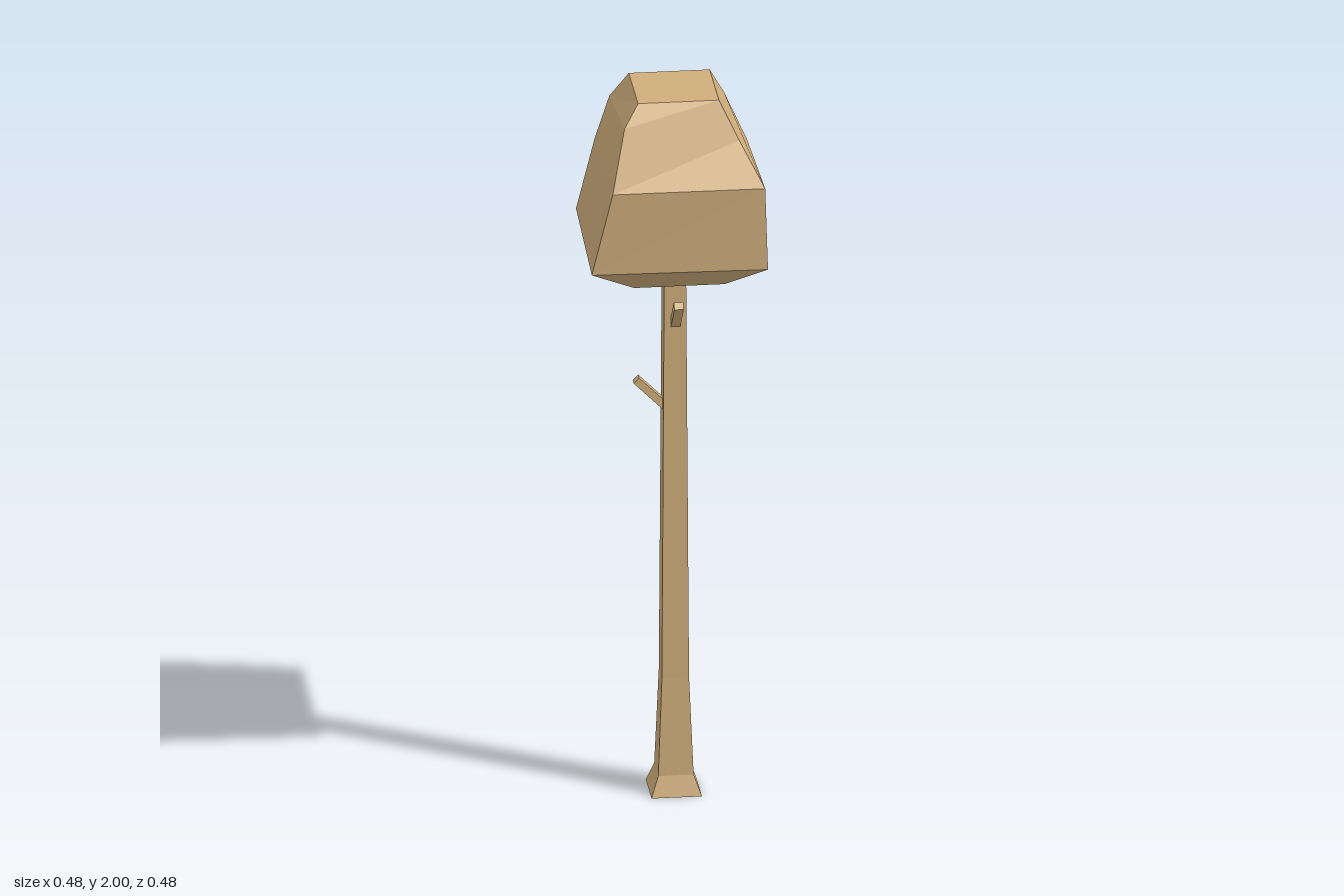
import * as THREE from 'three';

const material = new THREE.MeshStandardMaterial({
  color: 0xcfae7c, flatShading: true, side: THREE.DoubleSide,
});

// Skin four-cornered rings, listed bottom to top.
// Corner order: front left, front right, back right, back left as seen from the front.
function loft(rings, capped) {
  const index = [];
  for (let r = 0; r < rings.length - 1; r++) {
    for (let i = 0; i < 4; i++) {
      const j = (i + 1) % 4;
      const a = r * 4 + i, b = r * 4 + j, c = b + 4, d = a + 4;
      index.push(a, b, c, a, c, d);
    }
  }
  if (capped) {
    const t = (rings.length - 1) * 4;
    index.push(0, 2, 1, 0, 3, 2, t, t + 1, t + 2, t, t + 2, t + 3);
  }
  const geometry = new THREE.BufferGeometry();
  geometry.setAttribute('position', new THREE.Float32BufferAttribute(rings.flat(2), 3));
  geometry.setIndex(index);
  const flat = geometry.toNonIndexed();
  flat.computeVertexNormals();
  return flat;
}

// Level rectangular ring
const ring = (y, x0, x1, z0, z1) => [[x0, y, z1], [x1, y, z1], [x1, y, z0], [x0, y, z0]];

function addMesh(group, name, geometry) {
  const mesh = new THREE.Mesh(geometry, material);
  mesh.name = name;
  group.add(mesh);
  return mesh;
}

// Square twig running from root to tip
function addBranch(group, name, root, tip) {
  const from = new THREE.Vector3(...root), to = new THREE.Vector3(...tip);
  const mesh = addMesh(group, name, new THREE.BoxGeometry(0.025, 0.021, from.distanceTo(to)));
  mesh.position.copy(from).add(to).multiplyScalar(0.5);
  mesh.lookAt(to);
}

export function createModel() {
  const tree = new THREE.Group();
  tree.name = 'tree';

  // Tapering square trunk with a flared foot, open underneath
  const c = 0.004;
  const trunk = [[0, 0.067], [0.055, 0.047], [0.33, 0.036], [1.5, 0.029]]
    .map(([y, h]) => ring(y, c - h, c + h, c - h, c + h));
  addMesh(tree, 'trunk', loft(trunk, false));

  // Irregular faceted crown
  addMesh(tree, 'crown', loft([
    ring(1.48, -0.115, 0.125, -0.12, 0.12),
    [[-0.24, 1.565, 0.226], [0.227, 1.565, 0.239], [0.24, 1.575, -0.229], [-0.228, 1.565, -0.242]],
    [[-0.185, 1.795, 0.233], [0.22, 1.795, 0.236], [0.22, 1.765, -0.187], [-0.185, 1.785, -0.187]],
    [[-0.145, 1.95, 0.157], [0.161, 1.9, 0.147], [0.155, 1.915, -0.159], [-0.15, 1.92, -0.151]],
    ring(2, -0.103, 0.112, -0.109, 0.106),
  ], true));

  // Two broken twigs
  addBranch(tree, 'sideBranch', [-0.015, 1.09, c], [-0.097, 1.172, c]);
  addBranch(tree, 'frontBranch', [c + 0.001, 1.328, 0.018], [c + 0.001, 1.418, 0.108]);

  return tree;
}
